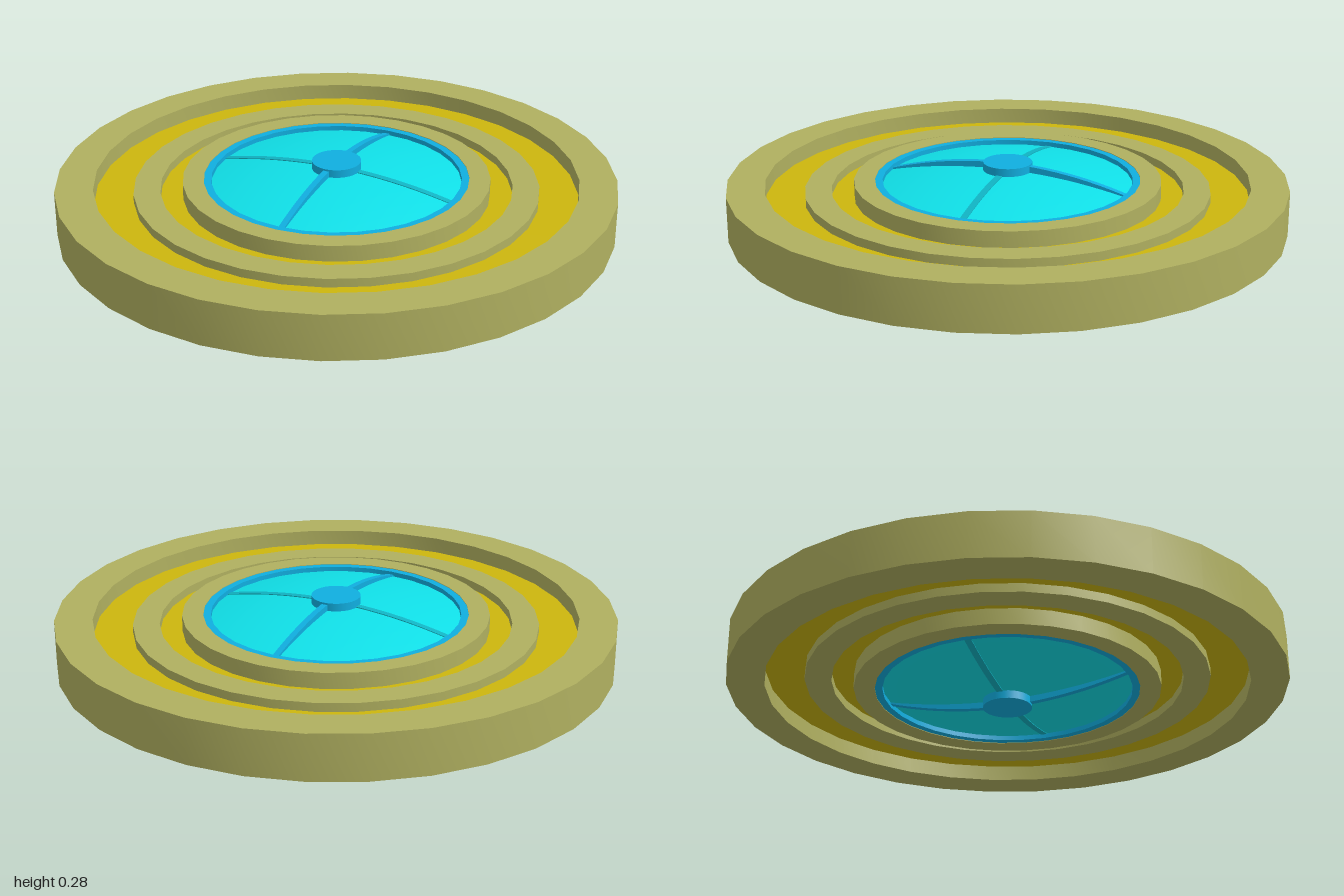
import * as THREE from 'three';
import { toCreasedNormals } from 'three/addons/utils/BufferGeometryUtils.js';

const MID = 0.141; // height of the symmetry plane
const SEGMENTS = 32;

export function createModel() {
  const group = new THREE.Group();
  const paint = (color) => new THREE.MeshStandardMaterial({ color });
  const olive = paint(0xb0b060);
  const gold = paint(0xccb60e);
  const cyan = paint(0x10e0e8);
  const teal = paint(0x10b4c4);
  const blue = paint(0x10aee0);

  function add(name, geometry, material) {
    const mesh = new THREE.Mesh(geometry, material);
    mesh.name = name;
    mesh.position.y = MID;
    group.add(mesh);
    return mesh;
  }

  // Rectangular-section ring, symmetric about the middle plane
  function ring(name, inner, outer, half, material) {
    const profile = [[outer, -half], [outer, half], [inner, half], [inner, -half], [outer, -half]]
      .map(([r, y]) => new THREE.Vector2(r, y));
    add(name, toCreasedNormals(new THREE.LatheGeometry(profile, SEGMENTS), 0.5), material);
  }

  // Lens outline: shallow arcs above and below, from edge height to crown height
  function arc(reach, edge, crown, from, steps) {
    const points = [];
    for (let i = 0; i <= steps; i++) {
      const t = from + (1 - from) * (i / steps);
      points.push(new THREE.Vector2(reach * t, crown + (edge - crown) * t * t));
    }
    return points;
  }

  // Curved rib crossing the whole lens, both faces
  function rib(name, edge, crown, width, material) {
    const top = arc(0.455, edge, crown, -1, 24);
    const bottom = top.map((p) => new THREE.Vector2(p.x, -p.y)).reverse();
    const geometry = new THREE.ExtrudeGeometry(new THREE.Shape([...top, ...bottom]), {
      depth: width, bevelEnabled: false,
    });
    geometry.translate(0, 0, -width / 2);
    return add(name, toCreasedNormals(geometry, 0.5), material);
  }

  // Concentric rings with a recessed plate between them
  ring('outerRing', 0.865, 1, 0.082, olive);
  ring('middleRing', 0.63, 0.725, 0.055, olive);
  ring('innerRing', 0.475, 0.55, 0.082, olive);
  ring('recessedPlate', 0.5, 0.9, 0.024, gold);
  ring('lensRim', 0.448, 0.476, 0.08, blue);

  // Domed lens, bulging up and down
  const upper = arc(0.455, 0.061, 0.114, 0, 10).reverse();
  const lower = upper.map((p) => new THREE.Vector2(p.x, -p.y)).reverse();
  add('lens', toCreasedNormals(new THREE.LatheGeometry([...lower, ...upper], SEGMENTS), 0.5), cyan);

  // Raised rib front to back, nearly flush rib side to side
  rib('raisedRib', 0.066, 0.137, 0.022, blue).rotation.y = Math.PI / 2;
  rib('flushRib', 0.063, 0.117, 0.024, teal);

  // Central hub through both faces
  add('hub', new THREE.CylinderGeometry(0.088, 0.088, MID * 2, SEGMENTS), blue);

  return group;
}
